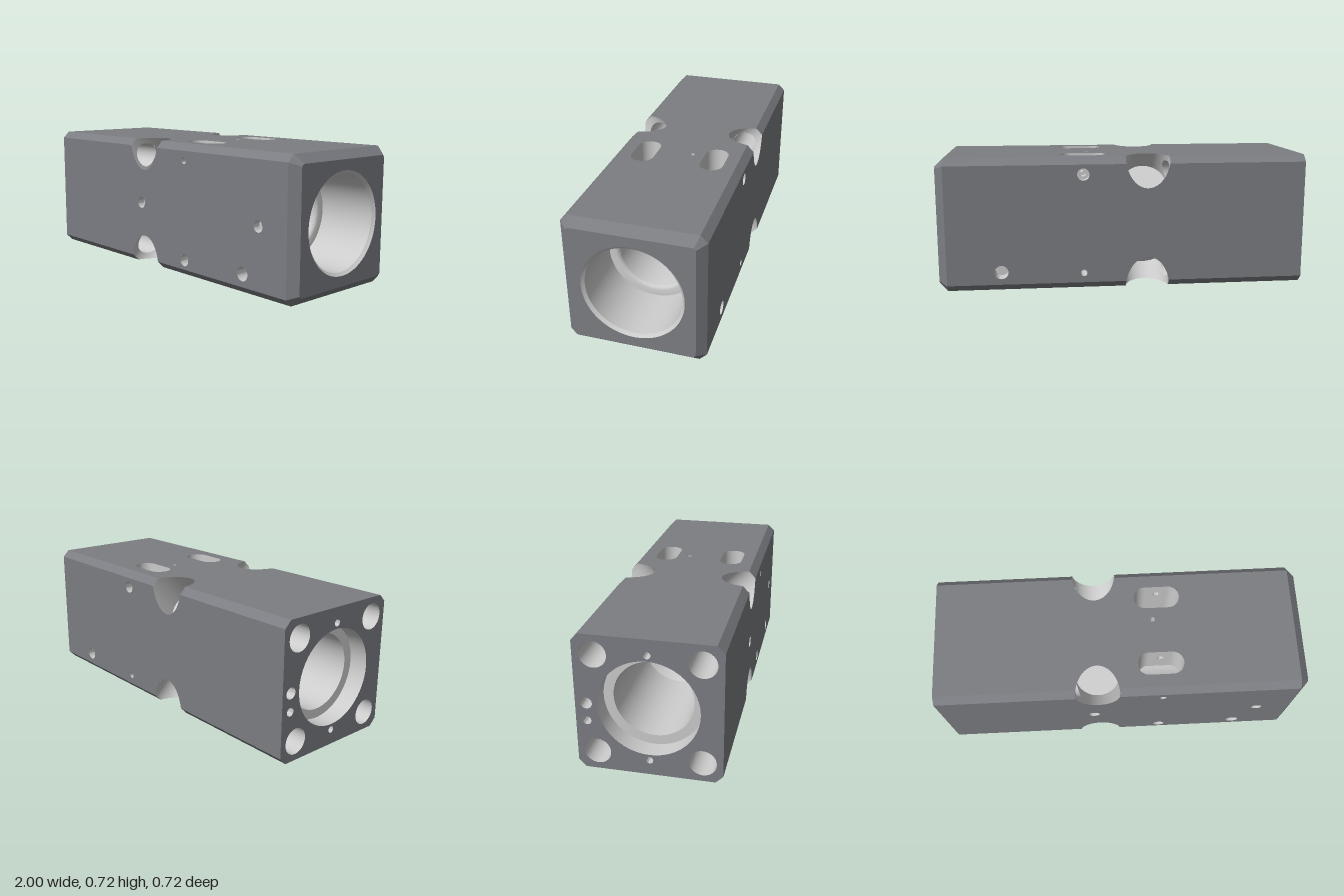
import * as THREE from 'three';
import { toCreasedNormals } from 'three/addons/utils/BufferGeometryUtils.js';
import { ParametricGeometry } from 'three/addons/geometries/ParametricGeometry.js';

const H = 0.36, C = 0.037, END = 0.955;             // half height, long chamfer, start of end bevel
const NX = -0.13, NR = 0.12, FLOOR = 0.276;         // corner notches
const BOLT_R = 0.068, BOLT_T = 0.26 * Math.SQRT2;   // corner bolt holes
const R = 0.19;                                     // main bore
const SX0 = 0.1525, SX1 = 0.2775, SZ = 0.1925, SR = 0.0625; // slots
const PIN_X = 0.22, PIN_Y = 0.27, PIN_R = 0.018;    // cross pin holes

const outside = new THREE.MeshStandardMaterial({ color: 0x7b7d82 });
const inside = new THREE.MeshStandardMaterial({ color: 0xcccccc, side: THREE.DoubleSide });

const V2 = (x, y) => new THREE.Vector2(x, y);
const root = (n) => Math.sqrt(Math.max(0, n));

function add(parent, name, geometry, material, z = 0) {
  const mesh = new THREE.Mesh(geometry, material);
  mesh.name = name;
  mesh.position.z = z;
  parent.add(mesh);
  return mesh;
}

function frame(parent, name, rx, ry = 0) {
  const group = new THREE.Group();
  group.name = name;
  group.rotation.set(rx, ry, 0);
  parent.add(group);
  return group;
}

function circle(x, y, r) {
  return new THREE.Path().absarc(x, y, r, 0, Math.PI * 2, true);
}

// Surface swept by a rule f(u, v) -> [x, y, z]
function surface(f, nu, nv = 1) {
  const g = new ParametricGeometry((u, v, p) => p.set(...f(u, v)), nu, nv);
  g.computeVertexNormals();
  return g;
}

// Round pit going inward from a face at local z; profile is [radius, depth] pairs
function pit(parent, name, x, y, z, profile) {
  const g = new THREE.LatheGeometry(profile.map(([r, d]) => V2(r, -d)), 32).rotateX(Math.PI / 2);
  add(parent, name, toCreasedNormals(g, 0.6), inside, z).position.set(x, y, z);
}

const blind = (r, d) => [[r, 0], [r, d], [0, d]];
const stepped = (r, d, r2, d2) => [[r, 0], [r, d], [r2, d], [r2, d2], [0, d2]];

// Long side face with half-elliptical bites where the notches break out
function sideShape() {
  const a0 = Math.asin(C / (NR * Math.SQRT2)), bite = [];
  for (let i = 0; i <= 40; i++) {
    const a = a0 + (Math.PI - 2 * a0) * i / 40;
    bite.push(V2(NX + NR * Math.cos(a), H - NR * Math.SQRT2 * Math.sin(a)));
  }
  const s = H - C;
  const lower = bite.map((p) => V2(p.x, -p.y)).reverse();
  return new THREE.Shape([V2(-1, -s), ...lower, V2(END, -s), V2(END, s), ...bite, V2(-1, s)]);
}

function slotPath(y) {
  const p = new THREE.Path();
  p.absarc(SX1, y, SR, -Math.PI / 2, Math.PI / 2, false);
  p.absarc(SX0, y, SR, Math.PI / 2, Math.PI * 1.5, false);
  return p;
}

function octagon(h, c) {
  const k = h - c;
  return [[h, -k], [h, k], [k, h], [-k, h], [-h, k], [-h, -k], [-k, -h], [k, -h]].map(([x, y]) => V2(x, y));
}

// Chamfer, notch and bolt hole of one long corner; local z runs out along the diagonal
function corner(parent, k) {
  const g = frame(parent, 'corner', Math.PI / 4 + k * Math.PI / 2);
  const half = C / Math.SQRT2, top = (2 * H - C) / Math.SQRT2;
  for (const [sign, x] of [[-1, -1], [1, END]]) {
    const edge = [-half, 0, half].map((v) => V2(NX + sign * root(NR * NR - v * v), v));
    add(g, 'edgeChamfer', new THREE.ShapeGeometry(new THREE.Shape([V2(x, -half), ...edge, V2(x, half)])), outside, top);
  }
  const wall = (low) => (u, w) => {
    const a = u * Math.PI * 2, x = NR * Math.cos(a), y = NR * Math.sin(a);
    const gap = x < 0 ? root(BOLT_R ** 2 - y * y) : 0;
    const rim = Math.min(top, H * Math.SQRT2 - Math.abs(y));
    const [from, to] = low ? [FLOOR, BOLT_T - gap] : [BOLT_T + gap, rim];
    return [NX + x, y, from + (to - from) * w];
  };
  add(g, 'notchWall', surface(wall(true), 128), inside);
  add(g, 'notchWall', surface(wall(false), 128), inside);
  add(g, 'notchFloor', new THREE.CircleGeometry(NR, 64).translate(NX, 0, FLOOR), inside);
  add(g, 'boltHole', surface((u, w) => {
    const a = u * Math.PI * 2, y = BOLT_R * Math.sin(a);
    const stop = NX - root(NR * NR - y * y);
    return [-1 + (stop + 1) * w, y, BOLT_T + BOLT_R * Math.cos(a)];
  }, 48), inside);
}

// Slot walls, left open where the slot passes through the bore
function slot(parent, sz, sy) {
  const bottom = (z) => root(R * R - z * z);
  for (const [cx, dir] of [[SX0, -1], [SX1, 1]]) {
    add(parent, 'slotEnd', surface((u, w) => {
      const a = (u - 0.5) * Math.PI, z = SZ + SR * Math.sin(a), y = bottom(z);
      return [cx + dir * SR * Math.cos(a), sy * (y + (H - y) * w), sz * z];
    }, 24), inside);
  }
  for (const z of [SZ - SR, SZ + SR]) {
    const y = sy * bottom(z), t = sy * H;
    const s = new THREE.Shape([V2(SX0, y), V2(SX1, y), V2(SX1, t), V2(SX0, t)]);
    s.holes.push(circle(PIN_X, sy * PIN_Y, PIN_R));
    add(parent, 'slotSide', new THREE.ShapeGeometry(s, 16), inside, sz * z);
  }
}

// Stepped bore along x, with the stretch between the slots cut open
function bore(parent) {
  const x0 = SX0 - SR, x1 = SX1 + SR;
  const turned = (points) => {
    const g = new THREE.LatheGeometry(points.map(([x, r]) => V2(r, x)), 96).rotateZ(-Math.PI / 2);
    add(parent, 'bore', toCreasedNormals(g, 0.5), inside);
  };
  turned([[1, 0.262], [0.992, 0.255], [0.985, 0.247], [0.67, 0.245], [0.67, 0.21],
    [0.667, 0.2], [0.66, 0.193], [0.65, R], [x1, R]]);
  turned([[x0, R], [0, R], [-0.04, 0.16], [-0.3, 0.16], [-0.34, 0.2], [-0.9, 0.2], [-0.9, 0.25], [-1, 0.25]]);
  for (const sy of [-1, 1]) {
    add(parent, 'slottedBore', surface((u, w) => {
      const x = (x0 + x1) / 2 - (x1 - x0) / 2 * Math.cos(Math.PI * w);
      const d = Math.max(SX0 - x, x - SX1, 0);
      const a = Math.asin(Math.min(1, (SZ - root(SR * SR - d * d)) / R)) * (2 * u - 1);
      return [x, sy * R * Math.cos(a), R * Math.sin(a)];
    }, 48, 40), inside);
  }
}

export function createModel() {
  const model = new THREE.Group();
  model.name = 'boredBlock';
  const block = frame(model, 'block', 0);
  block.position.y = H;

  // Long faces and the holes drilled in them: [x, y, profile]
  const pinFar = H - SZ - SR;
  const pins = [
    [PIN_X, -PIN_Y, [[0.033, 0], [0.033, 0.05], [PIN_R, 0.05], [PIN_R, pinFar]]],
    [PIN_X, PIN_Y, [[PIN_R, 0], [PIN_R, pinFar]]],
  ];
  const sides = [
    ['frontFace', 0, [...pins, [0.77, 0, stepped(0.03, 0.04, 0.014, 0.11)],
      [0.665, -0.255, blind(0.037, 0.08)], [-0.16, 0, stepped(0.032, 0.04, 0.016, 0.14)]]],
    ['backFace', Math.PI, [...pins, [0.665, 0.255, blind(0.037, 0.08)]]],
    ['topFace', -Math.PI / 2, [[0.185, 0.062, blind(0.013, 0.18)]], true],
    ['bottomFace', Math.PI / 2, [[0.185, -0.062, blind(0.013, 0.18)]], true],
  ];
  for (const [name, angle, holes, slotted] of sides) {
    const g = frame(block, name, angle), shape = sideShape();
    for (const [x, y, profile] of holes) {
      shape.holes.push(circle(x, y, profile[0][0]));
      pit(g, 'drilledHole', x, y, H, profile);
    }
    if (slotted) shape.holes.push(slotPath(SZ), slotPath(-SZ));
    add(g, name, new THREE.ShapeGeometry(shape, 20), outside, H);
  }

  for (let k = 0; k < 4; k++) corner(block, k);
  for (const sz of [-1, 1]) for (const sy of [-1, 1]) slot(block, sz, sy);
  bore(block);

  // Cross pin holes between the two slots
  for (const y of [-PIN_Y, PIN_Y]) {
    const g = new THREE.CylinderGeometry(PIN_R, PIN_R, 2 * (SZ - SR), 32, 1, true);
    add(block, 'pinHole', g.rotateX(Math.PI / 2).translate(PIN_X, y, 0), inside);
  }

  // Bevelled end
  const right = frame(block, 'bevelledEnd', 0, Math.PI / 2);
  const outer = octagon(H, C), inner = octagon(0.316, 0.011), bevel = [];
  outer.forEach((a, i) => {
    const j = (i + 1) % 8, b = outer[j], c = inner[j], d = inner[i];
    const at = (p, z) => new THREE.Vector3(p.x, p.y, z);
    bevel.push(at(a, END), at(b, END), at(c, 1), at(a, END), at(c, 1), at(d, 1));
  });
  const bevelGeometry = new THREE.BufferGeometry().setFromPoints(bevel);
  bevelGeometry.computeVertexNormals();
  add(right, 'endBevel', bevelGeometry, outside);
  const rightFace = new THREE.Shape(inner);
  rightFace.holes.push(circle(0, 0, 0.262));
  add(right, 'endFace', new THREE.ShapeGeometry(rightFace, 48), outside, 1);

  // Flat end with bolt holes and small tapped holes
  const left = frame(block, 'flatEnd', 0, -Math.PI / 2);
  const leftFace = new THREE.Shape(outer);
  leftFace.holes.push(circle(0, 0, 0.25));
  for (const x of [-0.26, 0.26]) for (const y of [-0.26, 0.26]) leftFace.holes.push(circle(x, y, BOLT_R));
  for (const [x, y, r] of [[0, 0.28, 0.018], [0, -0.28, 0.018], [-0.305, 0, 0.03], [-0.305, -0.095, 0.022]]) {
    leftFace.holes.push(circle(x, y, r));
    pit(left, 'tappedHole', x, y, 1, blind(r, 0.12));
  }
  add(left, 'endFace', new THREE.ShapeGeometry(leftFace, 24), outside, 1);
  return model;
}
